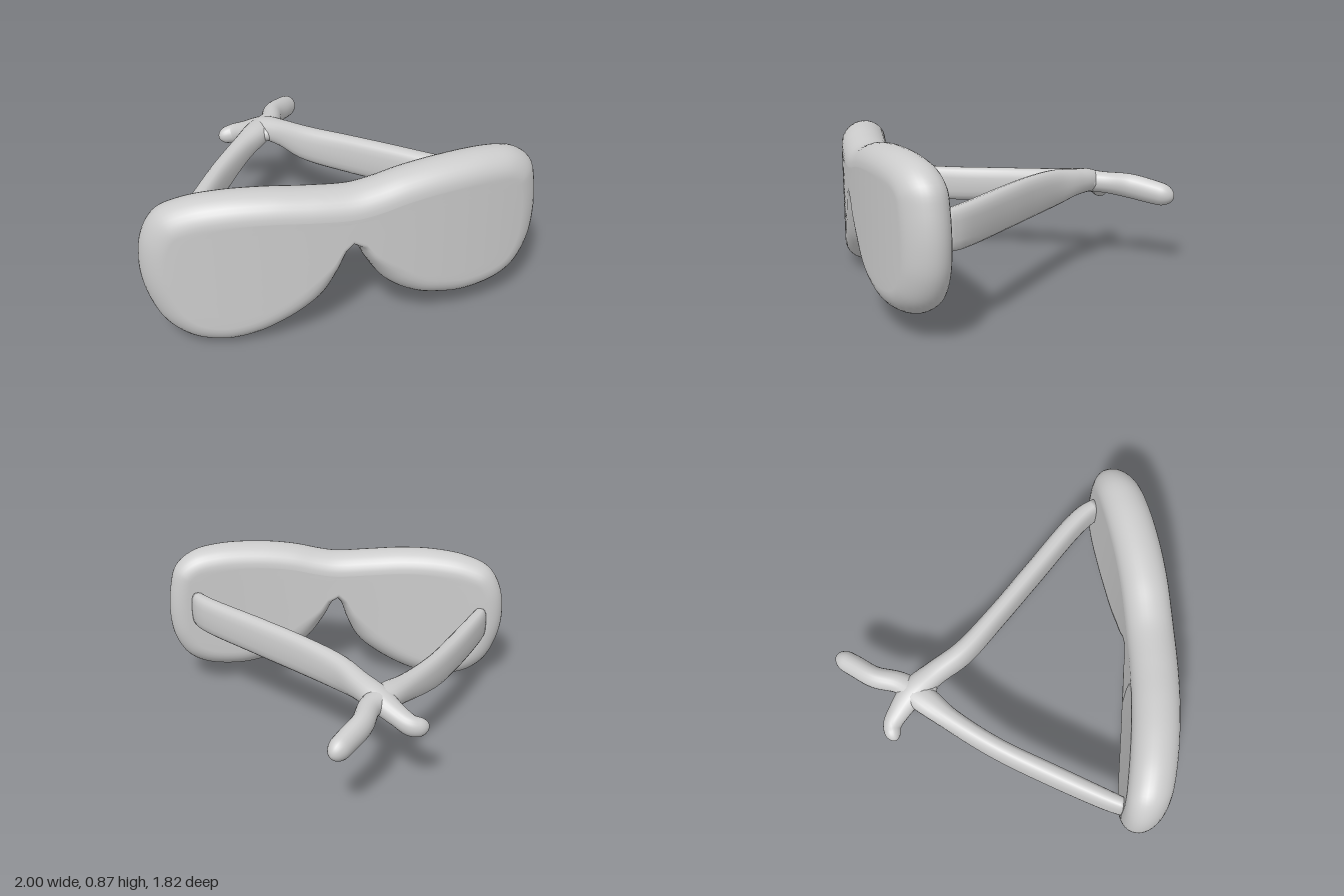
import * as THREE from 'three';

const material = new THREE.MeshStandardMaterial({ color: 0xcccccc });

// Joins rings of equal point count into one smooth skin.
function skin(name, rings) {
  const n = rings[0].length, index = [];
  for (let j = 0; j < rings.length - 1; j++) {
    for (let i = 0; i < n; i++) {
      const k = (i + 1) % n;
      const a = j * n + i, b = a + n, c = (j + 1) * n + k, d = j * n + k;
      index.push(a, c, b, a, d, c);
    }
  }
  const geometry = new THREE.BufferGeometry().setFromPoints(rings.flat());
  geometry.setIndex(index);
  geometry.computeVertexNormals();
  const mesh = new THREE.Mesh(geometry, material);
  mesh.name = name;
  return mesh;
}

// Thick one-piece lens front: rounded rim, flat faces, wrapped backwards at the sides.
function makeLensFront() {
  const outline = [
    [-1, 0.42], [-0.98, 0.6], [-0.91, 0.72], [-0.78, 0.78], [-0.6, 0.81], [-0.4, 0.815],
    [-0.2, 0.803], [0, 0.795], [0.1, 0.81], [0.25, 0.845], [0.45, 0.87], [0.7, 0.872],
    [0.85, 0.842], [0.95, 0.765], [0.985, 0.65], [1, 0.48], [0.98, 0.33], [0.91, 0.2],
    [0.8, 0.13], [0.6, 0.1], [0.45, 0.12], [0.32, 0.16], [0.17, 0.26], [0.065, 0.41],
    [0.03, 0.48], [0, 0.515], [-0.03, 0.47], [-0.06, 0.38], [-0.125, 0.25], [-0.23, 0.155],
    [-0.39, 0.062], [-0.5, 0.022], [-0.62, 0.003], [-0.78, 0.03], [-0.9, 0.12], [-0.97, 0.26],
  ].map(([x, y]) => new THREE.Vector3(x, y, 0));
  const curve = new THREE.CatmullRomCurve3(outline, true);
  const count = 200, inset = 0.115, halfDepth = 0.125, centreY = 0.66;

  // Profile from the middle of the front face, round the rim, to the middle of the back.
  const profile = [];
  for (let s = 0; s < 10; s++) profile.push([inset, s / 10, halfDepth]);
  for (let s = 0; s <= 16; s++) {
    const a = Math.PI / 2 - (Math.PI * s) / 16;
    profile.push([inset * (1 - Math.cos(a)), 1, halfDepth * Math.sin(a)]);
  }
  for (let s = 9; s >= 0; s--) profile.push([inset, s / 10, -halfDepth]);

  const rings = profile.map(([d, scale, z]) => Array.from({ length: count }, (_, i) => {
    const p = curve.getPointAt(i / count), t = curve.getTangentAt(i / count);
    // The rounding is tighter around the nose notch, and the sides are a little thinner.
    const e = d * (0.4 + 0.6 * THREE.MathUtils.smoothstep(Math.hypot(p.x, p.y - 0.5), 0.02, 0.3));
    const x = (p.x + t.y * e) * scale;
    const y = centreY + (p.y - t.x * e - centreY) * scale;
    return new THREE.Vector3(x, y, 0.78 - 0.13 * x * x + z * (1 - 0.15 * x ** 6));
  }));
  return skin('lensFront', rings);
}

// Temple arm: flat strap that rounds off towards a blunt tip.
// Each station is [x, y, z, half width, half height].
function makeArm(name, stations) {
  const path = new THREE.CatmullRomCurve3(stations.map(s => new THREE.Vector3(s[0], s[1], s[2])));
  const size = new THREE.CatmullRomCurve3(stations.map((s, i) => new THREE.Vector3(s[3], s[4], i * 0.2)));
  const steps = 64, sides = 20, tip = 0.07, rings = [];
  for (let j = 0; j <= steps; j++) {
    const u = 1 - Math.pow(1 - j / steps, 1.6);
    const p = path.getPoint(u), t = path.getTangent(u), r = size.getPoint(u);
    const side = new THREE.Vector3(-t.z, 0, t.x).normalize();
    const up = new THREE.Vector3().crossVectors(side, t).normalize();
    const e = Math.max(0, (u - 1 + tip) / tip);
    const taper = j === 0 ? 0 : Math.sqrt(Math.max(0, 1 - e * e));
    const power = 0.65 + 0.35 * Math.min(1, u * 1.3);
    const ring = [];
    for (let i = 0; i < sides; i++) {
      const a = (-i / sides) * Math.PI * 2, c = Math.cos(a), s = Math.sin(a);
      const w = Math.sign(c) * Math.pow(Math.abs(c), power) * r.x * taper;
      const h = Math.sign(s) * Math.pow(Math.abs(s), power) * r.y * taper;
      ring.push(p.clone().addScaledVector(side, w).addScaledVector(up, h));
    }
    rings.push(ring);
  }
  return skin(name, rings);
}

export function createModel() {
  const model = new THREE.Group();
  model.name = 'sunglasses';
  model.add(makeLensFront());

  model.add(makeArm('leftArm', [
    [0.84, 0.525, 0.6, 0.035, 0.1], [0.77, 0.525, 0.49, 0.05, 0.105], [0.46, 0.515, 0.2, 0.052, 0.11],
    [0.22, 0.505, -0.02, 0.052, 0.11], [0.02, 0.495, -0.22, 0.06, 0.1], [-0.08, 0.495, -0.37, 0.065, 0.075],
    [-0.17, 0.48, -0.49, 0.075, 0.065], [-0.26, 0.43, -0.575, 0.06, 0.055],
    [-0.33, 0.395, -0.62, 0.05, 0.055], [-0.415, 0.385, -0.61, 0.04, 0.045],
  ]));
  model.add(makeArm('rightArm', [
    [-0.87, 0.4, 0.6, 0.035, 0.095], [-0.82, 0.4, 0.5, 0.045, 0.1], [-0.66, 0.4, 0.21, 0.052, 0.1],
    [-0.5, 0.415, -0.07, 0.052, 0.095], [-0.33, 0.45, -0.31, 0.058, 0.075], [-0.21, 0.475, -0.45, 0.075, 0.065],
    [-0.12, 0.475, -0.56, 0.06, 0.06], [-0.07, 0.455, -0.7, 0.058, 0.07],
    [0.01, 0.43, -0.81, 0.058, 0.068], [0.085, 0.405, -0.91, 0.055, 0.06],
  ]));

  // Blend where the two arms cross.
  const knot = new THREE.Mesh(new THREE.SphereGeometry(1, 24, 16), material);
  knot.name = 'armCrossing';
  knot.scale.set(0.09, 0.058, 0.1);
  knot.position.set(-0.165, 0.48, -0.465);
  model.add(knot);
  return model;
}
